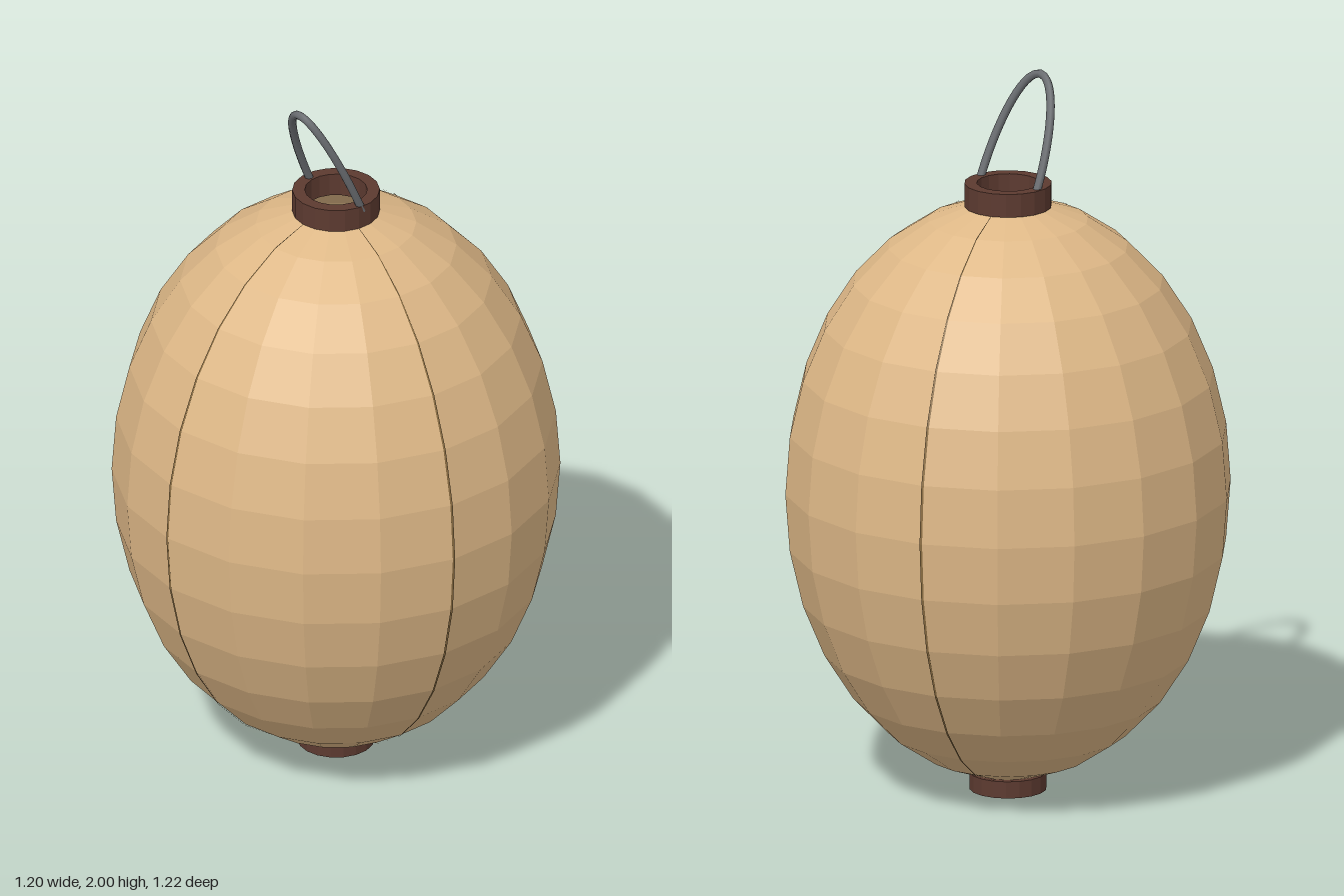
import * as THREE from 'three';

const SIDES = 18, RINGS = 14, CENTER_Y = 0.85, LIMIT = THREE.MathUtils.degToRad(80.5);

const material = (color, flatShading = true) =>
  new THREE.MeshStandardMaterial({ color, flatShading, side: THREE.DoubleSide });

// Meridian of the egg-shaped shade, bottom to top, pushed outward by "offset"
function meridian(offset = 0) {
  const points = [];
  for (let i = 0; i <= RINGS; i++) {
    const a = -LIMIT + (2 * LIMIT * i) / RINGS;
    points.push(new THREE.Vector2((0.609 + offset) * Math.cos(a), CENTER_Y + (0.81 + offset) * Math.sin(a)));
  }
  return points;
}

// Flat ring with a square cross-section
function collar(name, inner, outer, y0, y1, mat) {
  const profile = [[outer, y0], [outer, y1], [inner, y1], [inner, y0], [outer, y0]]
    .map(([r, y]) => new THREE.Vector2(r, y));
  const mesh = new THREE.Mesh(new THREE.LatheGeometry(profile, SIDES), mat);
  mesh.name = name;
  return mesh;
}

export function createModel() {
  const group = new THREE.Group();
  group.name = 'lantern';

  // Faceted paper shade, open at both ends
  const shade = new THREE.Mesh(new THREE.LatheGeometry(meridian(), SIDES), material(0xdeb887));
  shade.name = 'shade';
  group.add(shade);

  // Three thin seams along the meridians
  const seamMaterial = material(0x8a6d42);
  for (const degrees of [0, 80, 200]) {
    const width = 0.012;
    const profile = [...meridian(0.003), ...meridian(-0.003).reverse()];
    const start = THREE.MathUtils.degToRad(degrees) - width / 2;
    const seam = new THREE.Mesh(new THREE.LatheGeometry(profile, 1, start, width), seamMaterial);
    seam.name = 'seam';
    group.add(seam);
  }

  // Wooden collars around the two openings
  const wood = material(0x5c3a30);
  group.add(collar('topCollar', 0.085, 0.119, 1.645, 1.71, wood));
  group.add(collar('bottomCollar', 0.08, 0.105, 0, 0.047, wood));

  // Wire handle: half an ellipse leaning forward
  const path = [];
  for (let i = 0; i <= 16; i++) {
    const a = (Math.PI * i) / 16;
    path.push(new THREE.Vector3(0.003 - 0.104 * Math.cos(a), 1.69 + 0.299 * Math.sin(a), 0.132 * Math.sin(a)));
  }
  const handle = new THREE.Mesh(
    new THREE.TubeGeometry(new THREE.CatmullRomCurve3(path), 40, 0.0115, 8),
    material(0x696c70, false));
  handle.name = 'handle';
  group.add(handle);

  return group;
}
